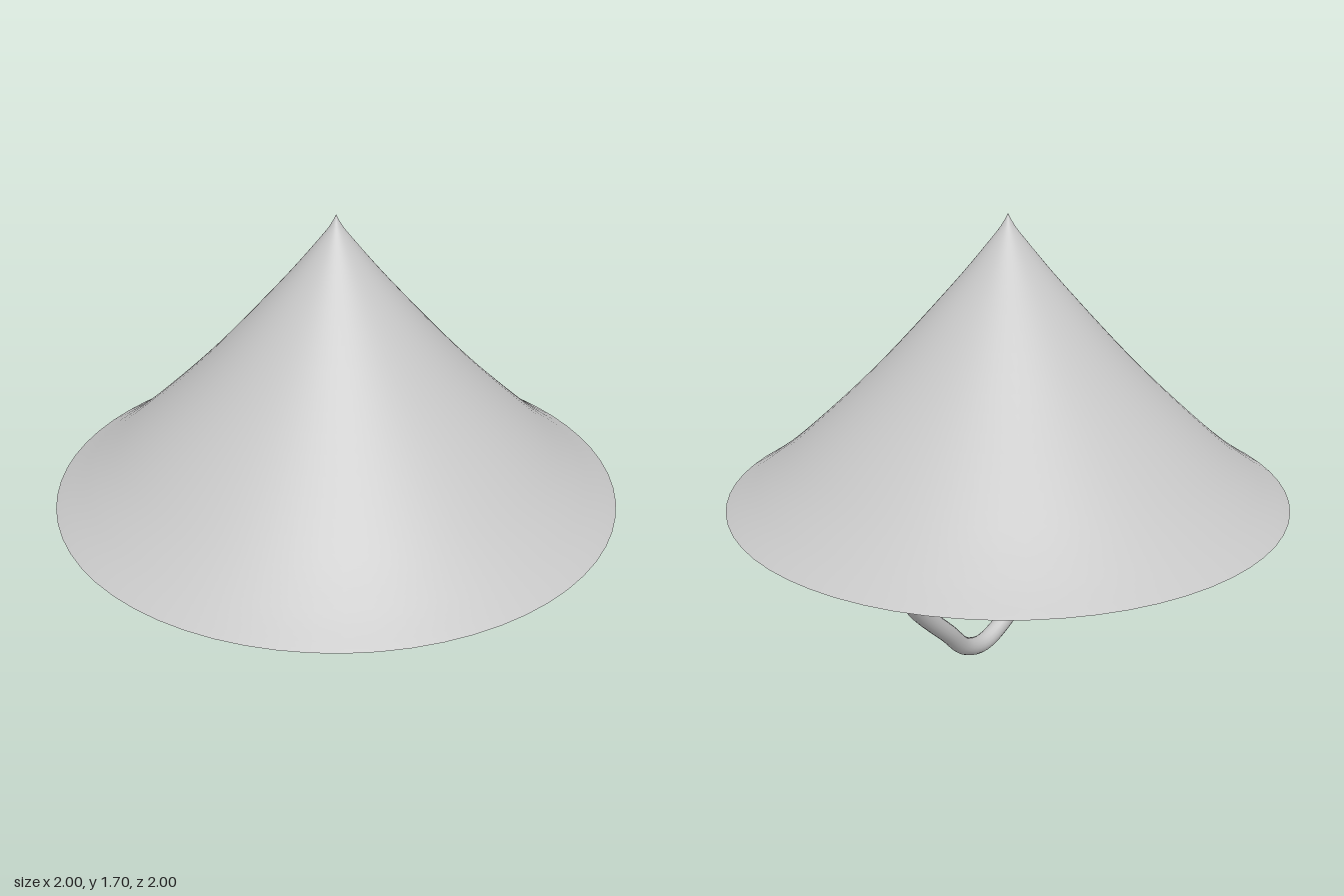
import * as THREE from 'three';

export function createModel() {
  const group = new THREE.Group();
  const grey = new THREE.MeshStandardMaterial({ color: 0xc6c6c6, side: THREE.DoubleSide });
  grey.name = 'light grey';

  // Conical shell: smooth flared profile from rim to pointed tip
  const profile = new THREE.SplineCurve([
    [1, 0.713], [0.89, 0.785], [0.74, 0.905], [0.47, 1.157],
    [0.2, 1.447], [0.05, 1.624], [0.015, 1.672], [0, 1.7],
  ].map(([r, y]) => new THREE.Vector2(r, y)));
  const points = profile.getPoints(40);
  points.forEach((p) => { p.x = Math.max(p.x, 0); });
  const shell = new THREE.Mesh(new THREE.LatheGeometry(points, 64), grey);
  shell.name = 'hatShell';
  group.add(shell);

  // Chin strap: one half of the path, mirrored across x
  const half = [
    [0.12, 0.075, 0.113], [0.25, 0.195, 0.09], [0.46, 0.4, 0.062],
    [0.6, 0.59, 0.005], [0.68, 0.715, -0.045], [0.74, 0.855, -0.11],
  ];
  const path = new THREE.CatmullRomCurve3([
    ...half.map(([x, y, z]) => new THREE.Vector3(-x, y, z)).reverse(),
    new THREE.Vector3(0, 0.034, 0.12),
    ...half.map((p) => new THREE.Vector3(...p)),
  ]);
  const radius = 0.034;
  const strap = new THREE.Mesh(new THREE.TubeGeometry(path, 80, radius, 16), grey);
  strap.name = 'chinStrap';
  group.add(strap);

  // Flat caps on the strap ends
  for (const t of [0, 1]) {
    const cap = new THREE.Mesh(new THREE.CircleGeometry(radius, 16), grey);
    cap.name = 'strapEnd';
    const outward = path.getTangentAt(t).multiplyScalar(t ? 1 : -1);
    cap.position.copy(path.getPointAt(t));
    cap.quaternion.setFromUnitVectors(new THREE.Vector3(0, 0, 1), outward);
    group.add(cap);
  }
  return group;
}
